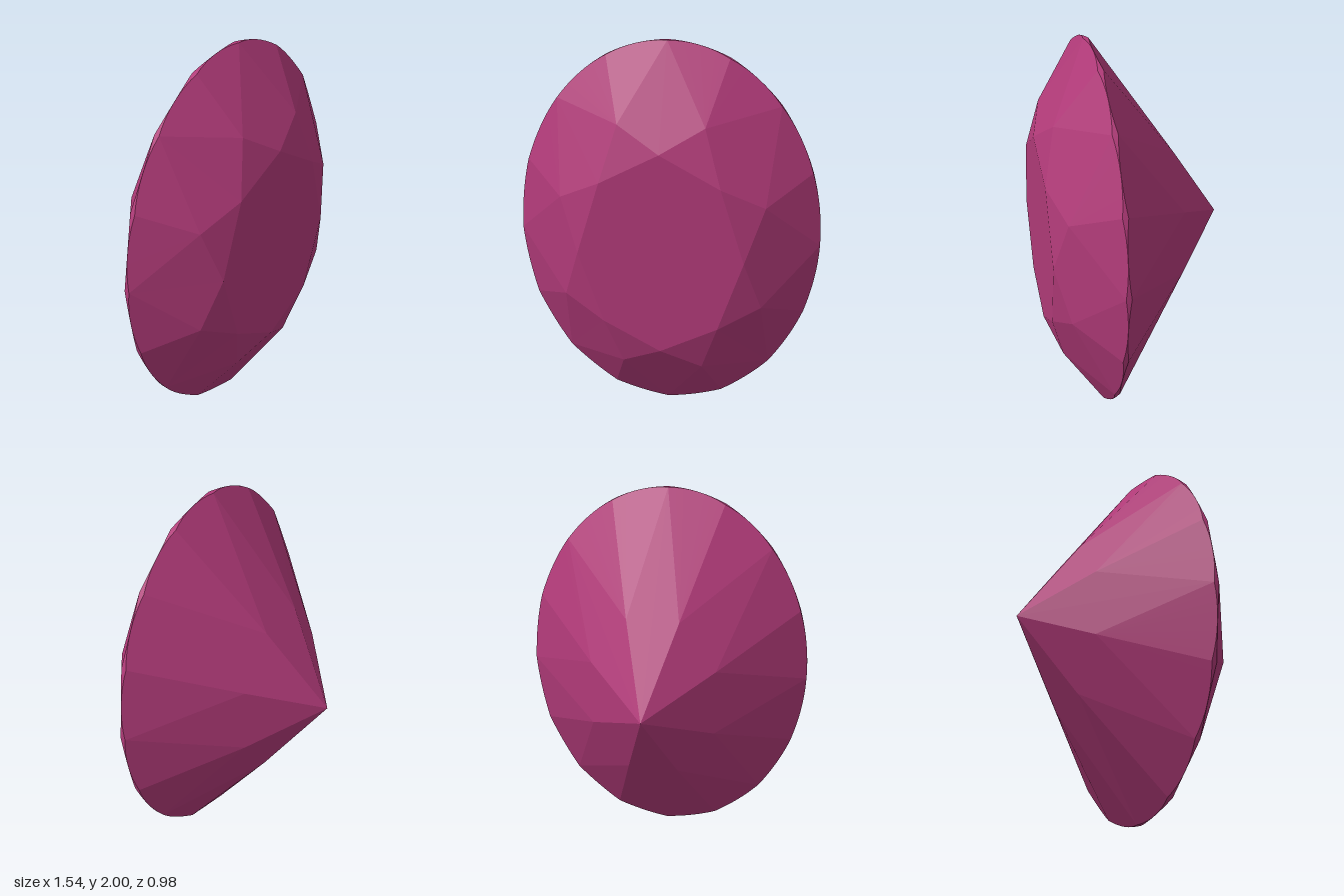
import * as THREE from 'three';

// Oval brilliant-cut gem: y up, table facing +z, culet at the back.
const RX = 0.77, RY = 1;
const TABLE_R = 0.53, TABLE_Z = 0.49;
const STAR_R = 0.7, STAR_Z = 0.425;
const CROWN_Z = 0.227, PAV_Z = 0.199;
const LOWER_R = 0.455, CULET_Z = -0.49;
const LOWER_Z = CULET_Z + (PAV_Z - CULET_Z) * LOWER_R * Math.cos(Math.PI / 8);
const STEP = Math.PI / 8; // sixteen girdle facets
const ARC = 8;            // girdle segments per facet

// point on an oval ring; a counts girdle facets
const at = (a, r, z) =>
  new THREE.Vector3(RX * r * Math.cos(a * STEP), 1 + RY * r * Math.sin(a * STEP), z);

// height of a girdle facet's plane where it meets the oval wall
function girdleZ(a, edgeZ, innerR, innerZ) {
  const mid = Math.cos(STEP / 2);
  const slope = (innerZ - edgeZ) / (mid * (1 - innerR));
  const off = a - Math.floor(a) - 0.5;
  return edgeZ - slope * (Math.cos(off * STEP) - mid);
}
const crownEdge = (a) => at(a, 1, girdleZ(a, CROWN_Z, STAR_R, STAR_Z));
const pavilionEdge = (a) => at(a, 1, girdleZ(a, PAV_Z, LOWER_R, LOWER_Z));

// flat polygons, each fanned from its first corner
function facets(name, polygons, material, flip = false) {
  const pts = [];
  for (const p of polygons) {
    for (let i = 1; i < p.length - 1; i++) {
      pts.push(p[0], ...(flip ? [p[i + 1], p[i]] : [p[i], p[i + 1]]));
    }
  }
  const geometry = new THREE.BufferGeometry().setFromPoints(pts);
  geometry.computeVertexNormals();
  const mesh = new THREE.Mesh(geometry, material);
  mesh.name = name;
  return mesh;
}

// triangle-like facets between an inner ring of points and the curved girdle
function girdleFacets(inner, edge) {
  const list = [];
  for (let k = 0; k < 16; k++) {
    const apex = inner(k % 2 ? k : k + 1);
    const arc = [];
    for (let j = 0; j <= ARC; j++) {
      // stay just inside the facet so its end heights are its own
      const a = k + j / ARC;
      arc.push(edge(a));
    }
    list.push([apex, ...arc]);
  }
  return list;
}

export function createModel() {
  const gem = new THREE.Group();
  gem.name = 'ovalGem';
  const material = new THREE.MeshStandardMaterial({ color: 0xb03a78 });

  const tablePoint = (a) => at(a, TABLE_R, TABLE_Z);
  const starPoint = (a) => at(a, STAR_R, STAR_Z);
  const lowerPoint = (a) => at(a, LOWER_R, LOWER_Z);
  const culet = new THREE.Vector3(0, 1, CULET_Z);

  const table = [], stars = [], kites = [], mains = [];
  for (let a = 0; a < 16; a += 2) {
    table.push(tablePoint(a));
    stars.push([tablePoint(a), starPoint(a + 1), tablePoint(a + 2)]);
    kites.push([tablePoint(a), starPoint(a - 1), crownEdge(a), starPoint(a + 1)]);
    mains.push([culet, lowerPoint(a - 1), pavilionEdge(a), lowerPoint(a + 1)]);
  }

  // crown
  const crown = new THREE.Group();
  crown.name = 'crown';
  crown.add(
    facets('table', [table], material),
    facets('starFacets', stars, material),
    facets('kiteFacets', kites, material),
    facets('upperGirdleFacets', girdleFacets(starPoint, crownEdge), material)
  );

  // pavilion
  const pavilion = new THREE.Group();
  pavilion.name = 'pavilion';
  pavilion.add(
    facets('pavilionMainFacets', mains, material, true),
    facets('lowerGirdleFacets', girdleFacets(lowerPoint, pavilionEdge), material, true)
  );

  // thin scalloped girdle, smooth around the oval
  const n = 16 * ARC, rim = [], normals = [], index = [];
  for (let i = 0; i < n; i++) {
    const a = i / ARC;
    rim.push(pavilionEdge(a), crownEdge(a));
    const normal = new THREE.Vector3(
      Math.cos(a * STEP) / RX, Math.sin(a * STEP) / RY, 0).normalize();
    normals.push(...normal.toArray(), ...normal.toArray());
    const p = 2 * i, q = 2 * ((i + 1) % n);
    index.push(p, q, q + 1, p, q + 1, p + 1);
  }
  const girdleGeometry = new THREE.BufferGeometry().setFromPoints(rim);
  girdleGeometry.setAttribute('normal', new THREE.Float32BufferAttribute(normals, 3));
  girdleGeometry.setIndex(index);
  const girdle = new THREE.Mesh(girdleGeometry, material);
  girdle.name = 'girdle';

  gem.add(crown, girdle, pavilion);
  return gem;
}
